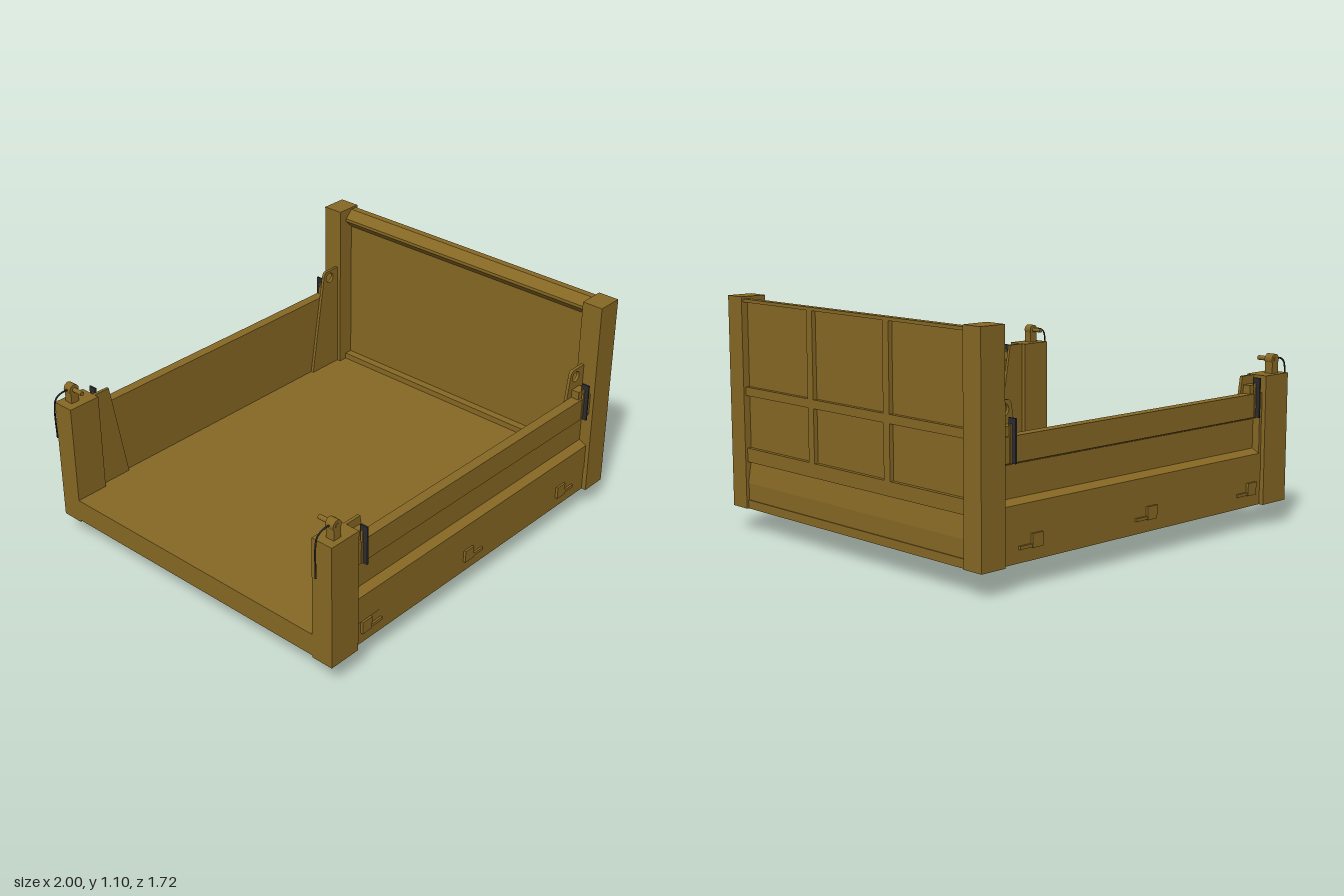
import * as THREE from 'three';

export function createModel() {
  const root = new THREE.Group();
  root.name = 'dumpBed';
  const paint = new THREE.MeshStandardMaterial({ color: 0x876824 });
  paint.name = 'ochre paint';
  const steel = new THREE.MeshStandardMaterial({ color: 0x2c2b2e });
  steel.name = 'dark steel';

  const add = (name, geo, mat = paint) => {
    const m = new THREE.Mesh(geo, mat);
    m.name = name;
    root.add(m);
    return m;
  };
  // Box from its extents; z values may come in either order
  const box = (name, x0, x1, y0, y1, z0, z1, mat) => {
    const g = new THREE.BoxGeometry(x1 - x0, y1 - y0, Math.abs(z1 - z0));
    g.translate((x0 + x1) / 2, (y0 + y1) / 2, (z0 + z1) / 2);
    return add(name, g, mat);
  };
  const outline = pts => new THREE.Shape(pts.map(p => new THREE.Vector2(...p)));
  // Plate drawn in x/y, given thickness along z
  const plate = (name, shape, z0, z1, mat) => {
    const g = new THREE.ExtrudeGeometry(shape, { depth: Math.abs(z1 - z0), bevelEnabled: false, curveSegments: 10 });
    g.translate(0, 0, Math.min(z0, z1));
    return add(name, g, mat);
  };
  // Profile given as [z, y] points, swept along x
  const sweepX = (name, pts, x0, x1, mat) => {
    const g = new THREE.ExtrudeGeometry(outline(pts.map(([z, y]) => [-z, y])), { depth: x1 - x0, bevelEnabled: false });
    g.rotateY(Math.PI / 2).translate(x0, 0, 0);
    return add(name, g, mat);
  };
  const hole = (shape, x, y, r) => {
    shape.holes.push(new THREE.Path().absarc(x, y, r, 0, Math.PI * 2, true));
    return shape;
  };

  // Floor and perimeter sills
  box('floor', -0.955, 0.93, 0.205, 0.23, -0.8, 0.8);
  box('tailSill', -0.955, -0.92, 0.12, 0.205, -0.75, 0.75);
  box('headSill', 0.93, 0.985, 0.12, 0.23, -0.75, 0.75);
  box('headSillLip', 0.94, 0.99, 0.11, 0.15, -0.75, 0.75);

  // Underframe: two long channels, cross members, hinge plates
  const mid = -0.032;
  for (const s of [-1, 1]) {
    const z = mid + s * 0.408;
    box('longBeam', -0.85, 0.94, 0.09, 0.205, z - 0.018, z + 0.018);
    box('longBeamFlange', -0.85, 0.94, 0.195, 0.205, z - 0.018, z + 0.018 - s * 0.03);
    const hinge = hole(outline([[-0.715, 0], [-0.535, 0], [-0.535, 0.206], [-0.715, 0.206]]), -0.615, 0.04, 0.013);
    plate('hingePlate', hinge, mid + s * 0.434, mid + s * 0.46);
  }
  for (const x of [-0.68, -0.25, 0.2, 0.62]) box('crossMember', x - 0.03, x + 0.03, 0.12, 0.206, -0.8, 0.8);
  for (const x of [-0.46, -0.02, 0.42]) box('innerCrossMember', x - 0.02, x + 0.02, 0.13, 0.206, mid - 0.4, mid + 0.4);

  // Guide bracket below the floor
  box('guideMount', 0.285, 0.315, 0.1, 0.206, -0.1, 0.04);
  plate('guideBracket', outline([[0.3, 0.07], [0.335, 0.105], [0.265, 0.105]]), -0.1, 0.04);

  // Headboard with a sloped top rail and ribbed outside
  plate('headboard', outline([[0.955, 0.23], [0.968, 0.23], [0.968, 1.08], [0.955, 1.08]]), -0.75, 0.75);
  plate('headTopRail', outline([[0.955, 0.99], [0.968, 0.99], [0.968, 1.07], [0.99, 1.07], [0.99, 1.085],
    [0.955, 1.085], [0.915, 1.045], [0.915, 1.03]]), -0.75, 0.75);
  box('headInnerFoot', 0.915, 0.956, 0.23, 0.26, -0.75, 0.75);
  box('headMidRib', 0.965, 0.988, 0.64, 0.68, -0.75, 0.75);
  plate('headLowRib', outline([[0.965, 0.33], [0.988, 0.33], [0.988, 0.395], [0.965, 0.395]]), -0.75, 0.75);
  plate('headSlope', outline([[0.96, 0.23], [0.988, 0.23], [0.97, 0.33], [0.96, 0.33]]), -0.75, 0.75);
  for (const z of [-0.26, 0.26]) box('headUprightRib', 0.965, 0.988, 0.36, 1.075, z - 0.02, z + 0.02);

  for (const s of [-1, 1]) {
    // Corner posts
    box('tailPost', -0.955, -0.79, 0.11, 0.72, s * 0.745, s * 0.855);
    box('headPost', 0.87, 1.0, 0.11, 1.095, s * 0.75, s * 0.855);

    // Side sill and side gate with a long recess
    box('sideSill', -0.79, 0.87, 0.11, 0.225, s * 0.79, s * 0.832);
    sweepX('sideGate', [[0.835, 0.225], [0.835, 0.355], [0.796, 0.375], [0.796, 0.515], [0.835, 0.53],
      [0.835, 0.64], [0.785, 0.64], [0.785, 0.225]].map(([z, y]) => [s * z, y]), -0.79, 0.87);
    box('gateEndCap', -0.79, -0.775, 0.35, 0.535, s * 0.79, s * 0.834);

    // Gusset plates inside the gate ends
    plate('tailGusset', outline([[-0.79, 0.23], [-0.62, 0.23], [-0.705, 0.72], [-0.79, 0.72]]), s * 0.77, s * 0.785);
    const ear = new THREE.Shape();
    ear.moveTo(0.68, 0.23);
    ear.lineTo(0.87, 0.23);
    ear.lineTo(0.87, 0.78);
    ear.lineTo(0.79, 0.78);
    ear.quadraticCurveTo(0.773, 0.78, 0.768, 0.755);
    plate('headGusset', hole(ear, 0.81, 0.74, 0.026), s * 0.77, s * 0.785);

    // Gate latches with thin handles
    for (const x of [-0.742, 0.815]) {
      box('latchBlock', x - 0.03, x + 0.03, 0.63, 0.68, s * 0.785, s * 0.825);
      box('latchStrap', x - 0.012, x + 0.012, 0.53, 0.69, s * 0.83, s * 0.84);
      box('latchHandle', x - 0.004, x + 0.004, 0.53, 0.715, s * 0.82, s * 0.86, steel);
    }

    // Lower gate hinges
    for (const x of [-0.75, -0.055, 0.645]) {
      box('gateHinge', x, x + 0.06, 0.165, 0.225, s * 0.828, s * 0.845);
      box('gateHingePin', x + 0.055, x + 0.13, 0.168, 0.182, s * 0.828, s * 0.842);
    }

    // Top pins and tethers on the tail posts
    box('pinBlock', -0.913, -0.87, 0.72, 0.785, s * 0.785, s * 0.828);
    const knob = add('pinKnob', new THREE.CylinderGeometry(0.026, 0.026, 0.043, 16).rotateX(Math.PI / 2));
    knob.position.set(-0.892, 0.785, s * 0.8065);
    const pin = add('crossPin', new THREE.CylinderGeometry(0.011, 0.011, 0.1, 12).rotateX(Math.PI / 2));
    pin.position.set(-0.892, 0.785, s * 0.78);
    const path = new THREE.CatmullRomCurve3([[-0.9, 0.787], [-0.955, 0.785], [-0.985, 0.768], [-0.996, 0.73], [-0.996, 0.57]]
      .map(([x, y]) => new THREE.Vector3(x, y, s * 0.805)));
    add('tether', new THREE.TubeGeometry(path, 20, 0.004, 6), steel);
  }
  return root;
}
